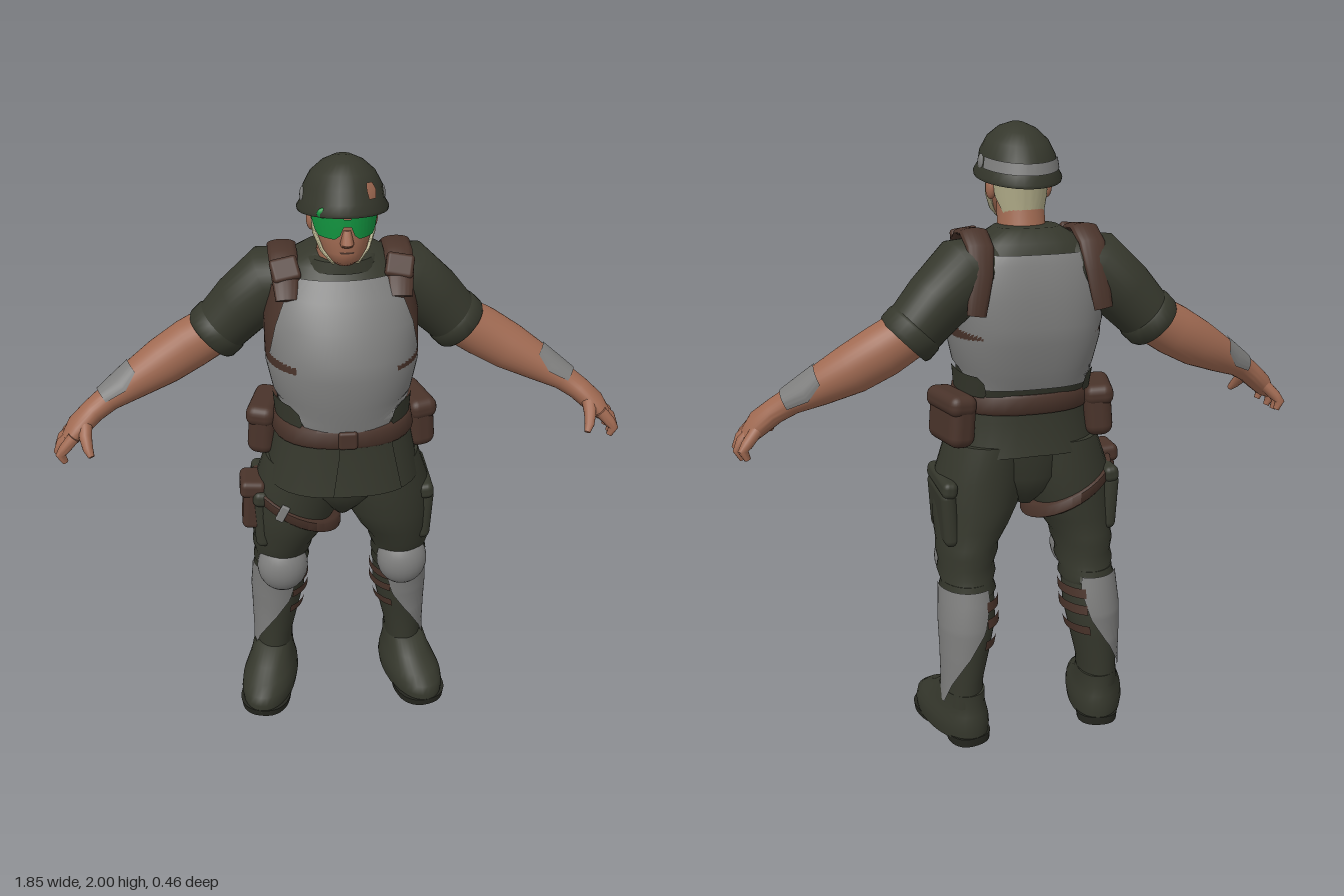
import * as THREE from 'three';
import { mergeVertices, toCreasedNormals } from 'three/addons/utils/BufferGeometryUtils.js';
import { RoundedBoxGeometry } from 'three/addons/geometries/RoundedBoxGeometry.js';

const PI = Math.PI, FRONT = -PI / 2, BACK = PI / 2;
const material = (name, color) => Object.assign(new THREE.MeshStandardMaterial({ color }), { name });

// Row: [x, y, z, radiusU, radiusV, halfAngle]. Full rings get closed ends.
// Flat lofts keep horizontal rings (U = x); others follow the path, with ring axis U = opts.u.
// pw and pwBack below 1 make the front and back of the ring boxier.
function loftGeometry(rows, { flat = true, u = [0, 0, 1], mid = 0, pw = 1, pwBack = pw, n = 32, shear = null } = {}) {
  const full = rows[0][5] === undefined, last = rows.length - 1;
  const pos = [], idx = [], P = r => new THREE.Vector3(r[0], r[1], r[2]);
  const bend = (c, e) => Math.sign(c) * Math.abs(c) ** e;
  const rings = rows.map((r, i) => {
    const t = P(rows[Math.min(i + 1, last)]).sub(P(rows[Math.max(i - 1, 0)]));
    if (flat) t.set(0, Math.sign(t.y), 0);
    t.normalize();
    const U = new THREE.Vector3(...(flat ? [1, 0, 0] : u));
    U.addScaledVector(t, -U.dot(t)).normalize();
    return { c: P(r), U, V: t.clone().cross(U), a: r[3], b: r[4], half: r[5] ?? PI };
  });
  if (full) {
    rings.unshift({ ...rings[0], a: 0, b: 0 });
    rings.push({ ...rings[rings.length - 1], a: 0, b: 0 });
  }
  for (const r of rings) for (let j = 0; j <= n; j++) {
    const th = mid + r.half * (2 * (full ? j % n : j) / n - 1);
    const e = Math.sin(th) > 0 ? pwBack : pw;
    const p = r.c.clone().addScaledVector(r.U, r.a * bend(Math.cos(th), e)).addScaledVector(r.V, r.b * bend(Math.sin(th), e));
    if (shear) p.y += shear(p);
    pos.push(p.x, p.y, p.z);
  }
  for (let i = 0; i < rings.length - 1; i++) for (let j = 0; j < n; j++) {
    const a = i * (n + 1) + j, b = a + n + 1;
    idx.push(a, a + 1, b + 1, a, b + 1, b);
  }
  const g = new THREE.BufferGeometry();
  g.setAttribute('position', new THREE.Float32BufferAttribute(pos, 3));
  g.setIndex(idx);
  return toCreasedNormals(mergeVertices(g, 1e-5), 0.9);
}

// Ring of a vertical profile at height y, pushed out by grow
function ringAt(profile, y, grow) {
  let i = 0;
  while (i < profile.length - 2 && profile[i + 1][1] < y) i++;
  const a = profile[i], b = profile[i + 1], k = (y - a[1]) / (b[1] - a[1]);
  const r = a.map((v, j) => v + (b[j] - v) * k);
  return [r[0], y, r[2], r[3] + grow, r[4] + grow];
}

export function createModel() {
  const model = new THREE.Group();
  model.name = 'armouredTrooper';
  const cloth = material('darkOliveCloth', 0x35372c), armour = material('greyArmour', 0x7e7e7d);
  const skin = material('skin', 0xa06a52), leather = material('brownLeather', 0x49332a);
  const lens = material('greenLens', 0x12933f), pale = material('paleHair', 0xb0ab88);
  const sole = material('bootSole', 0x25261f);

  const add = (name, geo, mat) => {
    const m = new THREE.Mesh(geo, mat);
    m.name = name;
    model.add(m);
    return m;
  };
  const loft = (name, mat, rows, opts) => add(name, loftGeometry(rows, opts), mat);
  const plate = (name, mat, profile, cuts, mid, grow, opts = {}) =>
    loft(name, mat, cuts.map(([y, h]) => [...ringAt(profile, y, grow), h]), { mid, ...opts });
  const box = (name, mat, size, p, rot = [0, 0, 0], r = 0.012) => {
    const m = add(name, new RoundedBoxGeometry(...size, 3, r), mat);
    m.position.set(...p);
    m.rotation.set(...rot);
    return m;
  };
  const ball = (name, mat, p, s) => {
    const m = add(name, new THREE.SphereGeometry(1, 24, 16), mat);
    m.position.set(...p);
    m.scale.set(...s);
    return m;
  };

  // Torso with front, back and side armour
  const torso = [[0, 1.16, .02, .2, .175], [0, 1.25, .012, .207, .198], [0, 1.38, .003, .235, .222],
    [0, 1.5, -.015, .235, .198], [0, 1.6, -.038, .215, .16], [0, 1.66, -.055, .17, .118], [0, 1.7, -.05, .1, .085]];
  const chest = { pw: .95, pwBack: .68 }, boxy = { pw: .85 };
  loft('shirt', cloth, torso, chest);
  plate('breastplate', armour, torso, [[1.17, .6], [1.21, .72], [1.25, 1.2], [1.27, 1.58], [1.36, 1.58],
    [1.41, 1.2], [1.5, 1.02], [1.58, .88], [1.635, .7]], FRONT, .008, chest);
  plate('backplate', armour, torso, [[1.21, .9], [1.25, 1.3], [1.27, 1.58], [1.36, 1.58],
    [1.41, 1.2], [1.5, 1.0], [1.6, .85], [1.63, .75]], BACK, .008, chest);
  for (const mid of [0, PI]) {
    plate('sidePanel', leather, torso, [[1.34, .8], [1.38, .9], [1.5, .9], [1.6, .85]], mid, .004, chest);
    plate('shirtHem', cloth, torso, [[1.185, .85], [1.2, .9], [1.235, .85], [1.255, .7]], mid, .013, chest);
  }

  // Jacket skirt, belt and pouches
  const skirt = [[0, .975, .02, .25, .2], [0, 1.1, .02, .222, .18], [0, 1.2, .015, .203, .18]];
  const hem = { ...boxy, shear: p => (p.y < 1 ? -.08 * (p.z - .02) - .03 * Math.abs(p.x) : 0) };
  loft('jacketSkirt', cloth, skirt, hem);
  plate('jacketOverlap', cloth, skirt, [[.978, .42], [1.1, .36], [1.14, .36]], FRONT + .28, .005, hem);
  loft('belt', leather, [1.125, 1.135, 1.18, 1.19].map((y, i) => ringAt(skirt, y, i % 3 ? .012 : .005)), boxy);
  box('buckle', leather, [.06, .06, .02], [0, 1.157, .208]);
  for (const s of [1, -1]) {
    box('beltPouch', leather, [.09, .16, .19], [s * .242, 1.1, -.05], [0, s * .25, s * .08], .035);
    box('pouchFlap', leather, [.095, .07, .2], [s * .243, 1.158, -.05], [0, s * .25, s * .08], .03);
  }

  // Trouser seat
  loft('trouserSeat', cloth, [[0, .79, -.01, .03, .06], [0, .84, -.01, .09, .11], [0, .9, 0, .17, .145], [0, 1.08, .01, .205, .165]]);

  // Neck, head and face
  const head = [[0, 1.695, .09, .03, .04], [0, 1.712, .085, .052, .07], [0, 1.74, .075, .068, .088], [0, 1.78, .058, .081, .106],
    [0, 1.83, .047, .088, .119], [0, 1.9, .045, .09, .12]];
  loft('neck', skin, [[0, 1.62, -.02, .088, .088], [0, 1.69, -.005, .075, .08], [0, 1.8, .01, .072, .072]]);
  loft('collar', cloth, [[0, 1.65, -.03, .125, .115], [0, 1.685, -.02, .105, .1], [0, 1.69, -.02, .09, .085]]);
  loft('head', skin, head);
  loft('nose', skin, [[0, 1.765, .158, .017, .016], [0, 1.775, .162, .02, .026], [0, 1.815, .158, .011, .015]]);
  plate('mouth', leather, head, [[1.744, .28], [1.749, .3]], FRONT, .002);
  plate('goggleBridge', lens, head, [[1.828, .3], [1.83, .3], [1.85, .3]], FRONT, .011);
  const hairline = [[0, 1.73, .012, .077, .084], [0, 1.78, .02, .086, .095], [0, 1.86, .04, .096, .124]];
  plate('hair', pale, hairline, [[1.735, 1.0], [1.78, 1.3], [1.86, 1.4]], BACK, 0);
  for (const s of [1, -1]) {
    plate('goggleLens', lens, head, [[1.79, .3], [1.802, .46], [1.83, .58], [1.857, .58]], FRONT + s * .68, .012);
    ball('ear', skin, [s * .09, 1.805, .02], [.016, .034, .022]);
    loft('chinStrap', pale, [[s * .09, 1.85, .055, .02, .007], [s * .084, 1.78, .07, .022, .008], [s * .064, 1.735, .095, .02, .008],
      [s * .034, 1.704, .125, .014, .006]], { flat: false });
  }

  // Helmet, tilted slightly up at the front
  const helmet = [[0, 1.838, .035, .133, .166], [0, 1.848, .035, .135, .168], [0, 1.872, .035, .121, .152], [0, 1.91, .035, .115, .143],
    [0, 1.95, .035, .094, .116], [0, 1.98, .035, .06, .074], [0, 1.997, .035, .022, .027]];
  const tilt = { shear: p => .14 * (p.z - .035) };
  loft('helmet', cloth, helmet, tilt);
  plate('helmetBand', armour, helmet, [[1.874, 1.3], [1.908, 1.3]], BACK, .005, tilt);
  plate('helmetPatch', skin, helmet, [[1.885, .1], [1.91, .15], [1.93, .1]], -.95, .005, tilt);
  ball('goggleClip', lens, [-.068, 1.868, .165], [.018, .015, .008]);
  for (const s of [1, -1]) ball('helmetDisc', armour, [s * .113, 1.88, .035], [.012, .028, .028]);

  for (const s of [1, -1]) {
    // Shoulder straps with padded front tabs
    loft('shoulderStrap', leather, [[s * .17, 1.58, .098, .035, .01], [s * .172, 1.64, .05, .042, .014], [s * .175, 1.682, -.02, .044, .014],
      [s * .175, 1.69, -.09, .044, .014], [s * .175, 1.655, -.165, .042, .014], [s * .18, 1.58, -.2, .036, .012],
      [s * .2, 1.46, -.212, .03, .01]], { flat: false, u: [1, 0, 0] });
    box('strapPad', leather, [.085, .075, .03], [s * .172, 1.655, .04], [-.7, 0, -s * .2]);

    // Sleeve and rolled cuff
    loft('sleeve', cloth, [[s * .11, 1.59, -.08, .1, .09], [s * .21, 1.57, -.1, .112, .112], [s * .3, 1.49, -.115, .106, .1],
      [s * .375, 1.41, -.122, .1, .09]], { flat: false });
    loft('cuff', cloth, [[s * .362, 1.424, -.122, .1, .09], [s * .37, 1.416, -.122, .106, .096], [s * .397, 1.389, -.124, .106, .096],
      [s * .405, 1.381, -.124, .099, .09]], { flat: false });

    // Arm, bracer and hand
    loft('arm', skin, [[s * .36, 1.42, -.125, .077, .077], [s * .47, 1.355, -.125, .077, .082], [s * .56, 1.303, -.11, .075, .077],
      [s * .66, 1.25, -.085, .062, .06], [s * .74, 1.205, -.06, .047, .042], [s * .79, 1.172, -.042, .047, .038],
      [s * .84, 1.13, -.02, .064, .036], [s * .87, 1.095, -.01, .058, .026]], { flat: false });
    loft('bracer', armour, [[s * .64, 1.261, -.09, .069, .067, 1.1], [s * .69, 1.234, -.076, .061, .057, 1.6],
      [s * .75, 1.2, -.058, .051, .046, 1.5]], { flat: false, mid: -s * (PI / 2 + .15) });
    for (let i = 0; i < 4; i++) {
      const z = .035 - .033 * i, d = i === 0 || i === 3 ? .012 : 0;
      loft('finger', skin, [[s * .85, 1.12, z, .02, .02], [s * (.894 - d), 1.085, z * 1.3, .018, .018],
        [s * (.907 - d), 1.055 + d, z * 1.4, .016, .016], [s * (.895 - d), 1.028 + d, z * 1.4, .01, .01]], { flat: false, n: 12 });
    }
    loft('thumb', skin, [[s * .815, 1.15, .005, .024, .022], [s * .812, 1.122, .045, .02, .02], [s * .805, 1.095, .072, .016, .016],
      [s * .795, 1.075, .088, .01, .01]], { flat: false, u: [1, 0, 0], n: 12 });

    // Trouser leg with folds gathered at the knee
    loft('trouserLeg', cloth, [[s * .208, .5, -.085, .08, .09], [s * .208, .525, -.075, .094, .112], [s * .207, .55, -.068, .086, .104],
      [s * .205, .58, -.05, .096, .122], [s * .204, .61, -.045, .09, .118], [s * .2, .65, -.038, .102, .134], [s * .196, .68, -.03, .102, .135],
      [s * .178, .74, -.018, .125, .148], [s * .158, .81, -.01, .142, .156], [s * .145, .91, -.005, .143, .16], [s * .125, 1.02, 0, .125, .16]]);
    box('thighPocket', cloth, [.05, .19, .23], [s * .272, .785, -.025], [0, 0, -s * .06], .024);
    box('pocketFlap', cloth, [.05, .055, .25], [s * .272, .885, -.02], [0, 0, s * .12], .02);
    ball('kneePad', armour, [s * .205, .588, .038], [.086, .096, .077]);

    // Boot shaft, shin guard and inner straps
    const shaft = [[s * .24, .13, -.11, .064, .09], [s * .235, .22, -.11, .066, .09], [s * .224, .32, -.108, .078, .096],
      [s * .214, .42, -.1, .09, .105], [s * .21, .5, -.085, .088, .102], [s * .208, .56, -.07, .086, .104]];
    const outer = s > 0 ? 0 : PI, inner = PI - outer;
    loft('bootShaft', cloth, shaft);
    plate('shinGuard', armour, shaft, [[.14, .3], [.22, .75], [.3, 1.3], [.32, 1.45], [.4, 1.9], [.42, 1.95], [.5, 2.15], [.545, 2.1]], outer, .009);
    for (const y of [.345, .42, .475])
      plate('calfStrap', leather, shaft, [[y, 1.15], [y + .006, 1.15], [y + .026, 1.15], [y + .032, 1.15]], inner, .012);

    // Foot, turned outwards, with a sole and raised heel
    const foot = new THREE.Group();
    foot.name = 'foot';
    foot.position.set(s * .24, 0, -.11);
    foot.rotation.y = s * .24;
    foot.add(
      loft('bootFoot', cloth, [[0, .022, .078, .092, .186], [0, .05, .078, .096, .188], [0, .08, .074, .093, .182], [0, .105, .058, .084, .16],
        [0, .135, .03, .074, .123], [0, .18, 0, .067, .093]], { pw: .92 }),
      loft('forefootSole', sole, [[0, .003, .155, .086, .106], [0, .03, .155, .09, .11]], boxy),
      loft('heelSole', sole, [[0, 0, -.04, .068, .068], [0, .03, -.036, .072, .074]], boxy));
    model.add(foot);
  }

  // Holster and sloping thigh strap on the right leg
  box('holster', leather, [.075, .17, .11], [-.292, .85, .03], [0, 0, -.08], .02);
  box('holsterFlap', leather, [.085, .06, .12], [-.295, .915, .03], [0, 0, -.08], .02);
  loft('thighStrap', leather, [[-.152, .805, -.01, .143, .157], [-.152, .811, -.01, .15, .164], [-.152, .845, -.008, .15, .166],
    [-.152, .851, -.008, .143, .159]], { shear: p => -.5 * (p.x + .152) });
  box('strapBuckle', armour, [.028, .06, .014], [-.205, .865, .15], [0, -.2, -.45], .005);
  return model;
}
